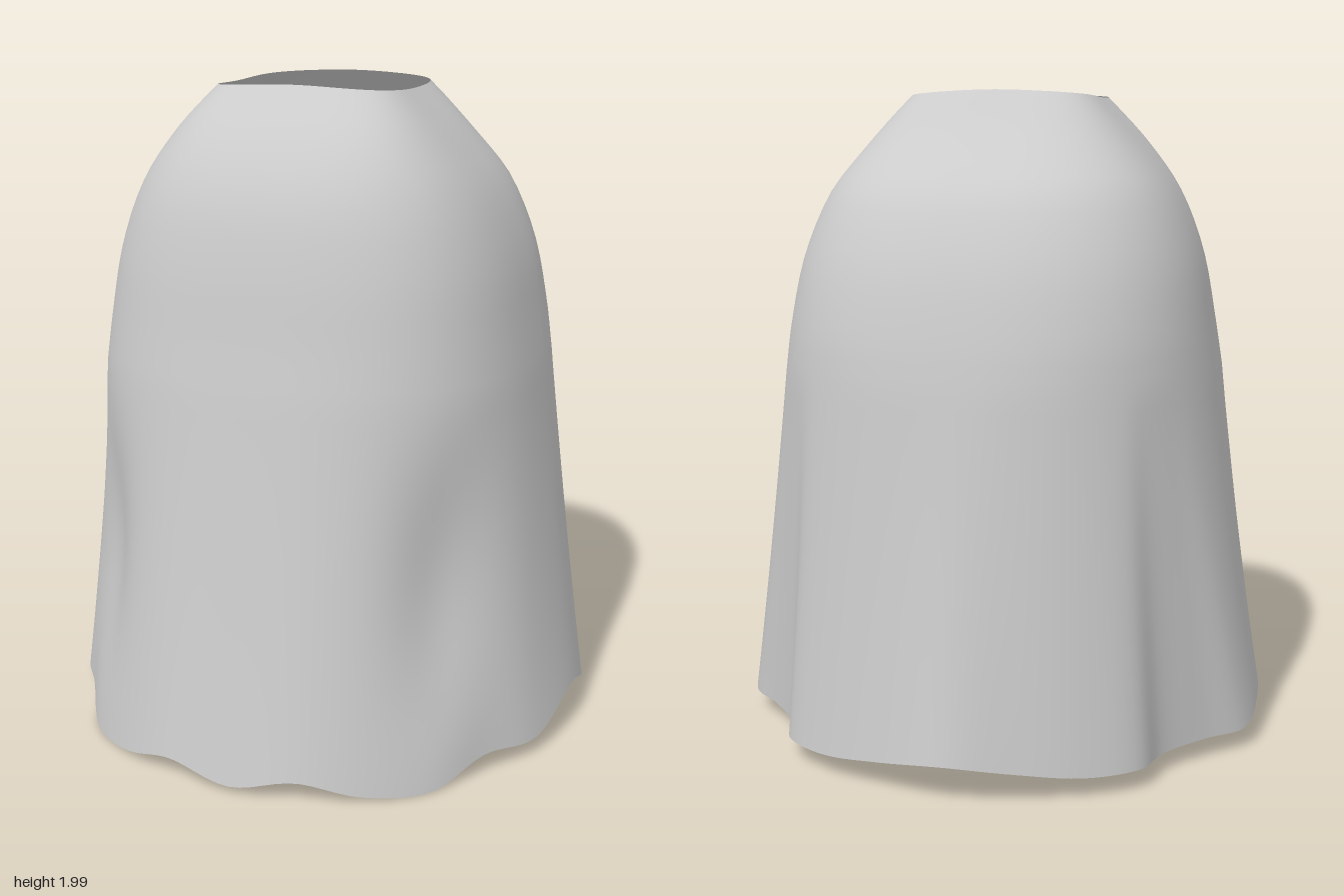
import * as THREE from 'three';

const AROUND = 144, UPPER = 18, LOWER = 20;

// Upper body sections: height, half width, front z, back z, squareness
const SECTIONS = [
  [2.0, 0.29, 0.325, -0.2, 4], [1.84, 0.43, 0.47, -0.36, 3.1], [1.69, 0.535, 0.553, -0.52, 2.8],
  [1.5, 0.61, 0.603, -0.615, 2.7], [1.3, 0.65, 0.635, -0.67, 2.65], [1.15, 0.675, 0.662, -0.697, 2.55],
];

// Wavy hem, one half from front centre to back centre: x, height, z
const HEM = [
  [0, 0.03, 0.842], [0.2, 0.07, 0.82], [0.38, 0.025, 0.75], [0.55, 0.008, 0.62], [0.66, 0.065, 0.45],
  [0.77, 0.055, 0.28], [0.818, 0.13, 0.03], [0.8, 0.07, -0.2], [0.69, 0.068, -0.32], [0.58, 0.065, -0.46],
  [0.535, 0.067, -0.6], [0.39, 0.07, -0.71], [0.2, 0.095, -0.79], [0, 0.12, -0.845],
];

const bump = (x, centre, width) => Math.exp(-(((x - centre) / width) ** 2));

// Point of a rounded-square section in the direction th (0 = front), rounder at the back
function sectionPoint([y, hx, zf, zb, square], th) {
  const hz = (zf - zb) / 2, s = Math.sin(th), c = Math.cos(th);
  const n = c > 0 ? square : 2.35 + (square - 2.6) * 1.18;
  const r = Math.pow(Math.pow(Math.abs(s / hx), n) + Math.pow(Math.abs(c / hz), n), -1 / n);
  return new THREE.Vector3(r * s, y, (zf + zb) / 2 + r * c);
}

export function createModel() {
  const mirrored = HEM.slice(1, -1).reverse().map(([x, y, z]) => [-x, y, z]);
  const hem = new THREE.CatmullRomCurve3(
    [...HEM, ...mirrored].map((p) => new THREE.Vector3(...p)), true);

  // Smooth the sections with two curves sharing one parameter
  const outline = new THREE.CatmullRomCurve3(SECTIONS.map((s) => new THREE.Vector3(s[1], s[0], s[2])));
  const rear = new THREE.CatmullRomCurve3(SECTIONS.map((s) => new THREE.Vector3(s[4], s[0], s[3])));
  const sectionAt = (t) => {
    const a = outline.getPoint(t), b = rear.getPoint(t);
    return [a.y, a.x, a.z, b.z, b.x];
  };

  const rows = UPPER + LOWER, positions = [], index = [];
  for (let j = 0; j <= rows; j++) {
    for (let i = 0; i < AROUND; i++) {
      const h = hem.getPoint(i / AROUND), angle = Math.atan2(h.x, h.z);
      // Side folds lean towards the back corners as they rise
      const th = angle + Math.sign(angle) * 0.25 * bump(Math.abs(angle), 1.85, 0.38);
      const t = Math.min(1, j / UPPER);
      const p = sectionPoint(sectionAt(t), th);
      // Neck rim sags a little at the sides
      p.y -= 0.02 * Math.sin(th) ** 2 * (1 - t) ** 4;
      if (j > UPPER) {
        // Drape down to the hem, with a soft fold at each front corner
        const k = (j - UPPER) / LOWER, out = 0.88 * k + 0.12 * k * k;
        p.set(p.x + (h.x - p.x) * out, p.y + (h.y - p.y) * k, p.z + (h.z - p.z) * out);
        const fold = bump(Math.abs(angle), 0.79, 0.2);
        const inward = 1 - 0.07 * fold * Math.sin(Math.PI * k) ** 2;
        p.x *= inward;
        p.z *= inward;
      }
      positions.push(p.x, p.y, p.z);
      if (j < rows) {
        const n = (i + 1) % AROUND;
        const a = j * AROUND + i, b = j * AROUND + n, c = a + AROUND, d = b + AROUND;
        index.push(a, c, b, b, c, d);
      }
    }
  }

  const geometry = new THREE.BufferGeometry();
  geometry.setAttribute('position', new THREE.Float32BufferAttribute(positions, 3));
  geometry.setIndex(index);
  geometry.computeVertexNormals();

  const cape = new THREE.Mesh(geometry,
    new THREE.MeshStandardMaterial({ color: 0xcccccc, side: THREE.DoubleSide }));
  cape.name = 'drapedCloth';
  const group = new THREE.Group();
  group.name = 'cape';
  group.add(cape);
  return group;
}
